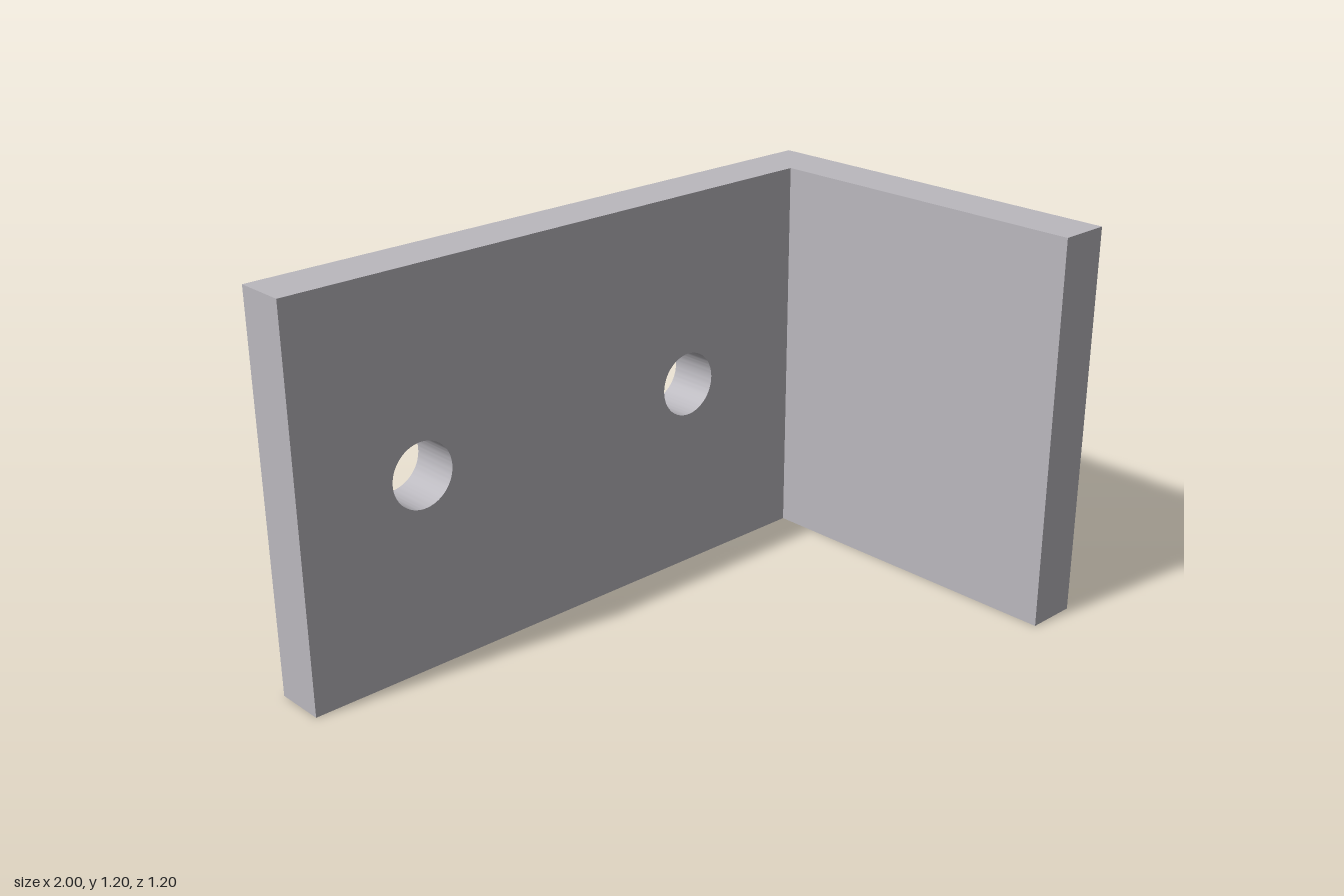
import * as THREE from 'three';
import { toCreasedNormals } from 'three/addons/utils/BufferGeometryUtils.js';

const LENGTH = 2, HEIGHT = 1.2, DEPTH = 1.2, THICK = 0.16;
const HOLE_RADIUS = 0.1, HOLE_X = [-0.6, 0.4];

export function createModel() {
  const group = new THREE.Group();
  group.name = 'angleBracket';
  const metal = new THREE.MeshStandardMaterial({ color: 0xbab8be });
  metal.name = 'light grey metal';

  // Long back plate with two round bolt holes
  const outline = new THREE.Shape();
  outline.moveTo(-LENGTH / 2, 0);
  outline.lineTo(LENGTH / 2, 0);
  outline.lineTo(LENGTH / 2, HEIGHT);
  outline.lineTo(-LENGTH / 2, HEIGHT);
  outline.closePath();
  for (const x of HOLE_X) {
    const hole = new THREE.Path();
    hole.absarc(x, HEIGHT / 2, HOLE_RADIUS, 0, Math.PI * 2, true);
    outline.holes.push(hole);
  }
  const plateGeometry = toCreasedNormals(
    new THREE.ExtrudeGeometry(outline, { depth: THICK, bevelEnabled: false, curveSegments: 48 }),
    0.5
  );
  const backPlate = new THREE.Mesh(plateGeometry, metal);
  backPlate.name = 'backPlate';
  backPlate.position.z = -DEPTH / 2;

  // Side flange, standing forward from the left end of the plate
  const reach = DEPTH - THICK;
  const sideFlange = new THREE.Mesh(new THREE.BoxGeometry(THICK, HEIGHT, reach), metal);
  sideFlange.name = 'sideFlange';
  sideFlange.position.set(LENGTH / 2 - THICK / 2, HEIGHT / 2, DEPTH / 2 - reach / 2);

  group.add(backPlate, sideFlange);
  return group;
}
